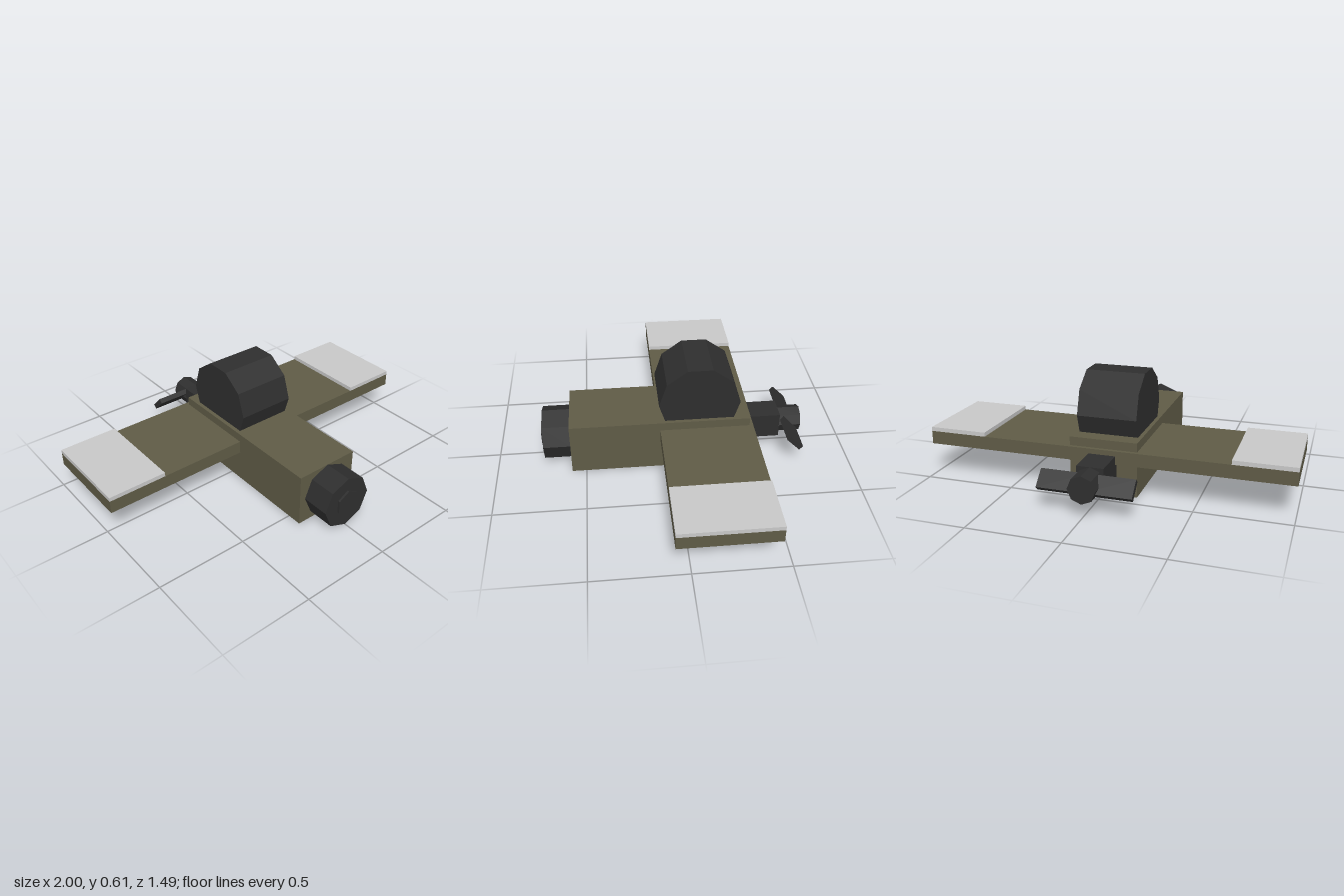
import * as THREE from 'three';

export function createModel() {
  const model = new THREE.Group();
  model.name = 'toyPlane';

  const flat = (name, color) => {
    const m = new THREE.MeshStandardMaterial({ color, flatShading: true });
    m.name = name;
    return m;
  };
  const olive = flat('olive', 0x5f5b46);
  const dark = flat('charcoal', 0x2e2e2e);
  const pale = flat('paleGrey', 0xc8c8c8);

  const add = (name, geometry, material, x, y, z) => {
    const mesh = new THREE.Mesh(geometry, material);
    mesh.name = name;
    mesh.position.set(x, y, z);
    model.add(mesh);
    return mesh;
  };
  const box = (w, h, d) => new THREE.BoxGeometry(w, h, d);
  // Low-poly cylinder lying along z
  const drumZ = (r, length, sides) =>
    new THREE.CylinderGeometry(r, r, length, sides).rotateX(Math.PI / 2);

  // Fuselage and wing
  add('fuselage', box(0.37, 0.3, 1), olive, 0, 0.15, 0.08);
  add('wing', box(2, 0.073, 0.52), olive, 0, 0.2155, -0.181);

  // Cockpit drum lying across the body
  add('cockpit', new THREE.CylinderGeometry(0.2246, 0.2246, 0.326, 10).rotateZ(Math.PI / 2),
    dark, 0, 0.4, -0.141);

  // Nose engine and its hexagonal cap
  add('noseEngine', drumZ(0.15, 0.155, 8), dark, 0, 0.15, 0.656);
  add('noseCap', drumZ(0.074, 0.04, 6), dark, 0, 0.152, 0.725);

  // Rear shaft and propeller hub
  add('tailShaft', box(0.146, 0.146, 0.215), dark, 0, 0.152, -0.5125);
  add('propellerHub', drumZ(0.074, 0.13, 8), dark, 0, 0.152, -0.68);

  for (const side of [1, -1]) {
    const label = side > 0 ? 'left' : 'right';
    // Pale panels on the wing tips
    add(label + 'WingTip', box(0.325, 0.023, 0.52), pale, side * 0.8375, 0.2635, -0.181);
    // Pitched propeller blades
    const blade = add(label + 'PropellerBlade', box(0.25, 0.03, 0.105), dark, side * 0.125, 0.155, -0.674);
    blade.rotation.x = -Math.PI / 4;
  }
  return model;
}
